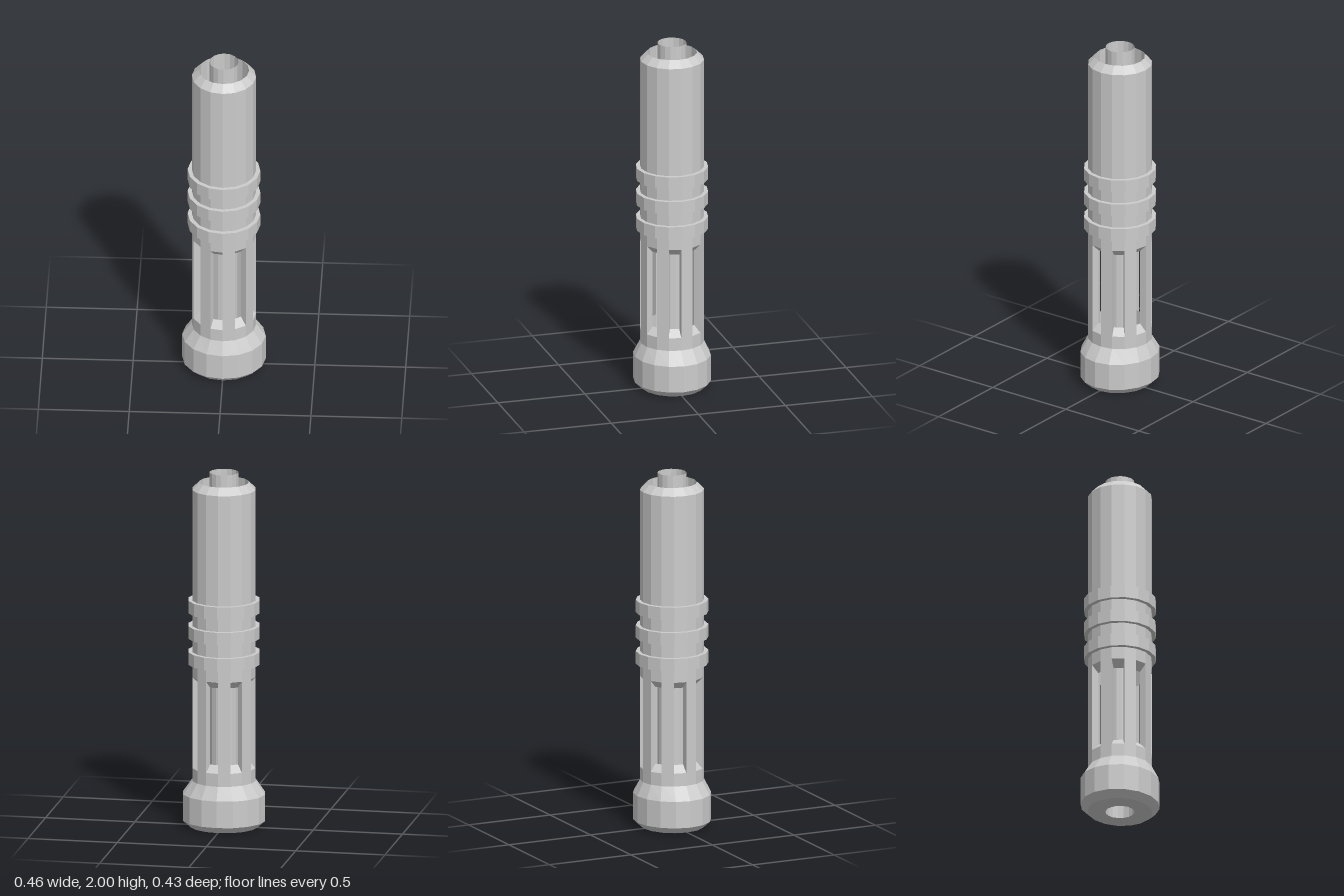
import * as THREE from 'three';

const SIDES = 16;
const OUTER = 0.177, INNER = 0.138, CORE = 0.08;
const SLOT = { outLow: 0.335, outHigh: 0.85, inLow: 0.375, inHigh: 0.81 };

const material = new THREE.MeshStandardMaterial({
  color: 0xcccccc, flatShading: true, side: THREE.DoubleSide,
});

function lathe(name, profile) {
  const points = profile.map(([r, y]) => new THREE.Vector2(r, y));
  const mesh = new THREE.Mesh(new THREE.LatheGeometry(points, SIDES), material);
  mesh.name = name;
  return mesh;
}

// Point on the barrel at facet corner i
function corner(i, r, y) {
  const a = (i / SIDES) * Math.PI * 2;
  return [r * Math.cos(a), y, r * Math.sin(a)];
}

// Slotted section: facets alternate between a bevelled slot and a rib
function slottedCage() {
  const positions = [];
  const quad = (a, b, c, d) => positions.push(...a, ...b, ...c, ...a, ...c, ...d);
  const { outLow, outHigh, inLow, inHigh } = SLOT;
  for (let i = 0; i < SIDES; i += 2) {
    const j = i + 1, k = i + 2;
    // sloping sill and lintel of the slot
    quad(corner(i, OUTER, outLow), corner(i, INNER, inLow),
      corner(j, INNER, inLow), corner(j, OUTER, outLow));
    quad(corner(i, OUTER, outHigh), corner(j, OUTER, outHigh),
      corner(j, INNER, inHigh), corner(i, INNER, inHigh));
    // rib: outside, inside and both side faces
    quad(corner(j, OUTER, outLow), corner(j, OUTER, outHigh),
      corner(k, OUTER, outHigh), corner(k, OUTER, outLow));
    quad(corner(j, INNER, inLow), corner(k, INNER, inLow),
      corner(k, INNER, inHigh), corner(j, INNER, inHigh));
    quad(corner(j, OUTER, outLow), corner(j, INNER, inLow),
      corner(j, INNER, inHigh), corner(j, OUTER, outHigh));
    quad(corner(k, OUTER, outLow), corner(k, OUTER, outHigh),
      corner(k, INNER, inHigh), corner(k, INNER, inLow));
  }
  const geometry = new THREE.BufferGeometry();
  geometry.setAttribute('position', new THREE.Float32BufferAttribute(positions, 3));
  geometry.computeVertexNormals();
  const mesh = new THREE.Mesh(geometry, material);
  mesh.name = 'slottedCage';
  return mesh;
}

export function createModel() {
  const model = new THREE.Group();
  model.name = 'slottedBarrel';

  // Upper barrel with three raised bands, chamfered open mouth and inner wall
  const upper = [[OUTER, SLOT.outHigh]];
  for (const y of [0.92, 1.067, 1.211]) {
    upper.push([OUTER, y], [0.2, y], [0.2, y + 0.071], [OUTER, y + 0.071]);
  }
  upper.push([OUTER, 1.905], [INNER, 1.945], [INNER, SLOT.inHigh]);
  model.add(lathe('upperBarrel', upper));

  model.add(slottedCage());

  // Flared base with a floor around the central bore
  const base = lathe('base', [
    [INNER, SLOT.inLow], [INNER, 0.03], [CORE, 0.03], [CORE, 0],
    [0.188, 0], [0.23, 0.037], [0.23, 0.187], [OUTER, 0.262], [OUTER, SLOT.outLow],
  ]);
  // The flare is slightly narrower from front to back
  const p = base.geometry.attributes.position;
  for (let i = 0; i < p.count; i++) {
    if (Math.hypot(p.getX(i), p.getZ(i)) > 0.18) p.setZ(i, p.getZ(i) * 0.926);
  }
  base.geometry.computeVertexNormals();
  model.add(base);

  // Thin tube running up the middle
  model.add(lathe('innerTube', [[CORE, 0.03], [CORE, 2]]));

  return model;
}
